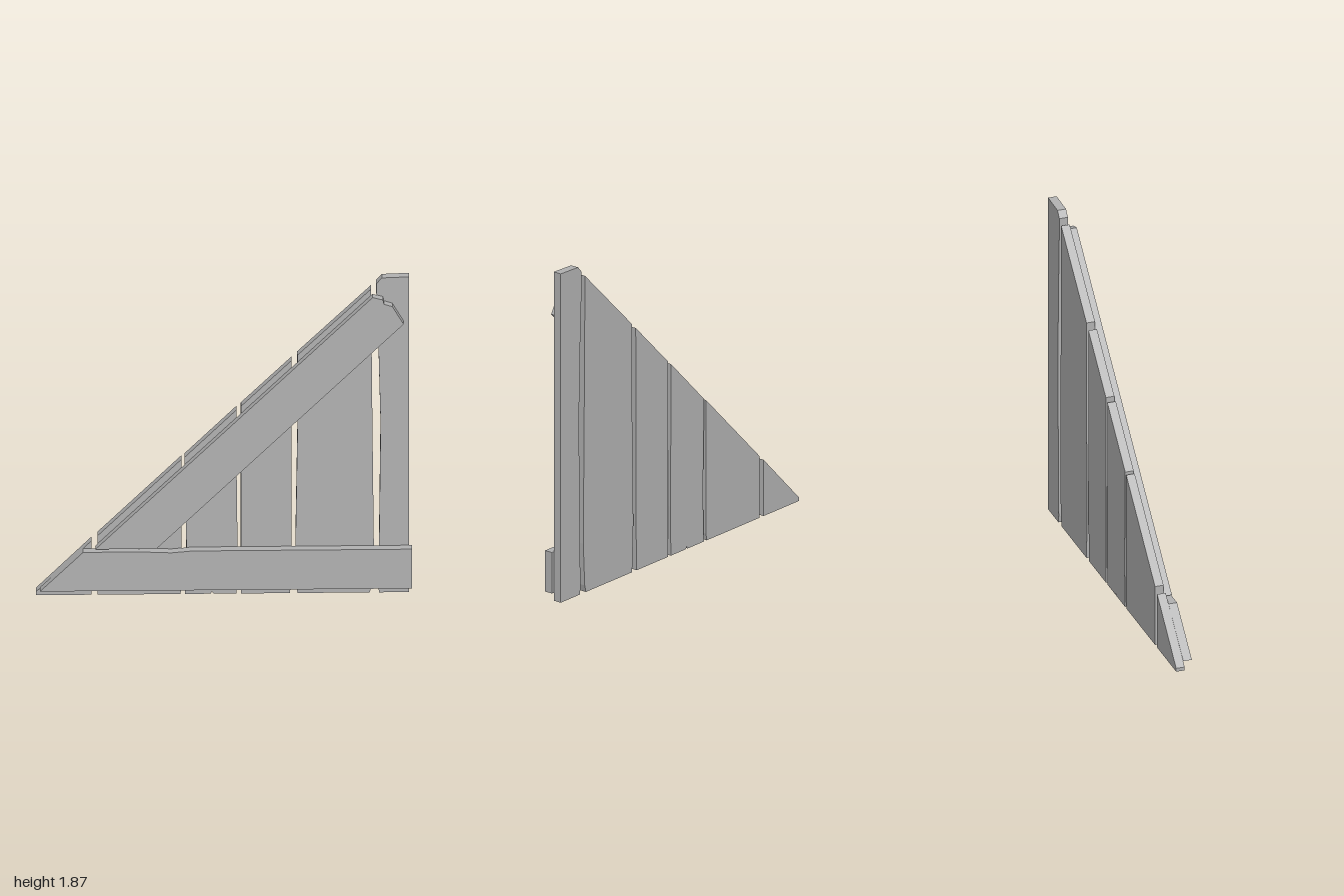
import * as THREE from 'three';

export function createModel() {
  const group = new THREE.Group();
  group.name = 'plankGable';
  const wood = new THREE.MeshStandardMaterial({ color: 0xb2b2b2 });
  wood.name = 'plain grey wood';

  // Flat board cut to an outline (counter-clockwise), from z = back to z = front
  function board(name, outline, back, front) {
    const shape = new THREE.Shape(outline.map(([x, y]) => new THREE.Vector2(x, y)));
    const geometry = new THREE.ExtrudeGeometry(shape, { depth: front - back, bevelEnabled: false });
    geometry.translate(0, 0, back);
    const mesh = new THREE.Mesh(geometry, wood);
    mesh.name = name;
    group.add(mesh);
  }

  // Upright planks: slightly worn edges, tops sawn along the slope
  const planks = [
    [[-1, 0], [-0.705, 0], [-0.705, 0.32], [-1, 0.02]],
    [[-0.672, 0], [-0.232, 0], [-0.225, 0.04], [-0.225, 0.8], [-0.672, 0.35]],
    [[-0.207, 0], [-0.072, 0], [-0.065, 0.012], [-0.055, 0], [0.067, 0],
      [0.072, 0.28], [0.067, 0.75], [0.067, 1.09], [-0.21, 0.81], [-0.2, 0.28]],
    [[0.09, 0], [0.352, 0], [0.358, 0.28], [0.36, 1.38], [0.09, 1.11]],
    [[0.39, 0], [0.775, 0], [0.785, 0.04], [0.797, 0.28], [0.787, 1.25],
      [0.783, 1.8], [0.39, 1.41], [0.392, 1.04], [0.38, 0.28]],
    [[0.825, 0], [0.985, 0], [0.985, 1.87], [0.84, 1.865], [0.81, 1.83],
      [0.81, 1.77], [0.822, 1.45], [0.833, 1.0], [0.825, 0.28], [0.82, 0.04]],
  ];
  planks.forEach((outline, i) => board(`uprightPlank${i + 1}`, outline, -0.048, 0));

  // Diagonal brace with a chipped upper end
  board('diagonalBrace', [
    [-0.685, 0.29], [-0.36, 0.29], [0.955, 1.61], [0.895, 1.715],
    [0.85, 1.73], [0.845, 1.755], [0.79, 1.77],
  ], 0, 0.043);

  // Horizontal rail across the foot
  board('bottomRail', [
    [-0.98, 0.045], [1, 0.045], [1, 0.278], [-0.17, 0.278],
    [-0.28, 0.268], [-0.45, 0.275], [-0.75, 0.275],
  ], 0, 0.048);

  return group;
}
